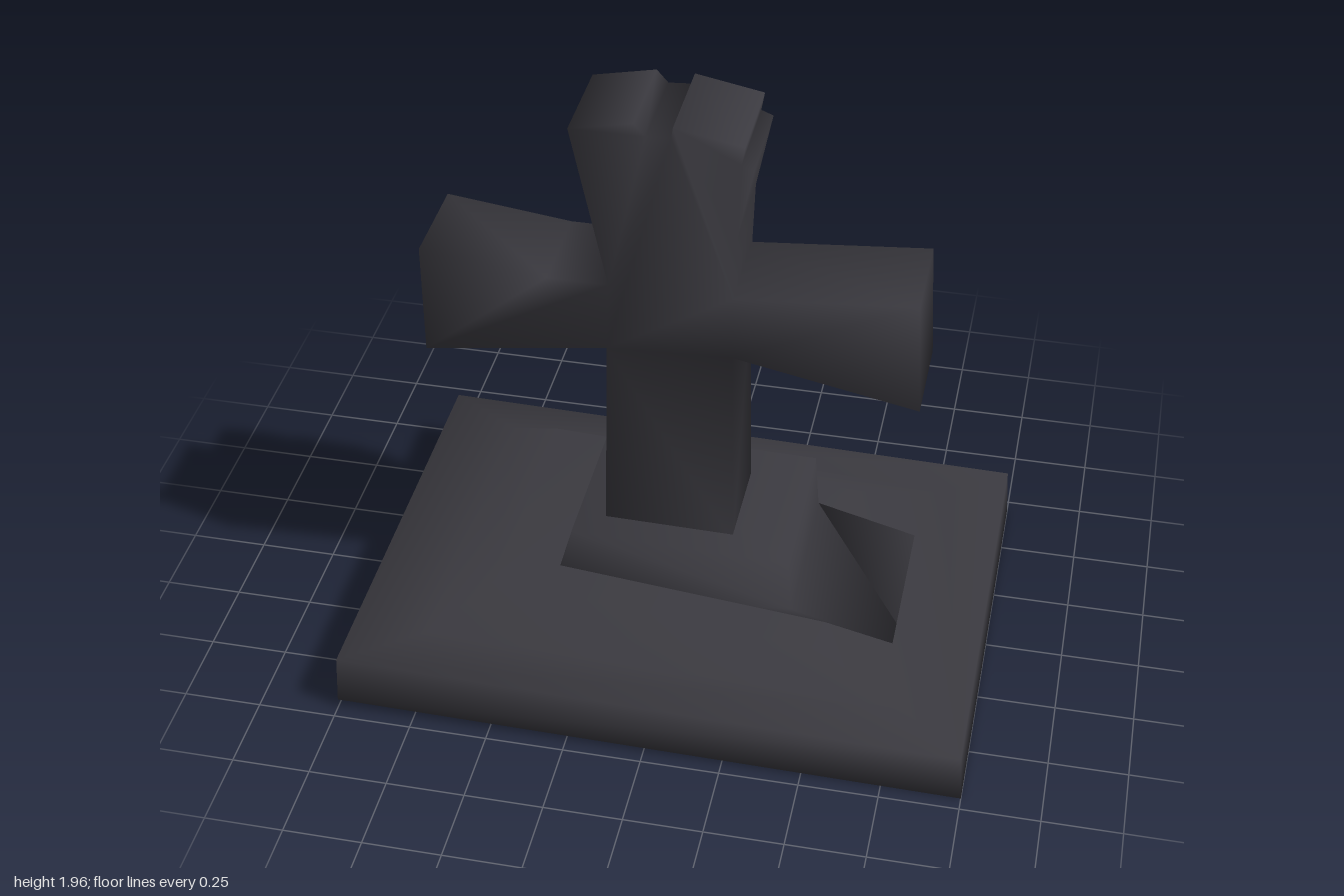
import * as THREE from 'three';
import { mergeVertices } from 'three/addons/utils/BufferGeometryUtils.js';

const stone = new THREE.MeshStandardMaterial({ color: 0x3b3a40 });
stone.name = 'dark stone';

// Extrude a front profile between two depths, with normals shared across edges
function slab(name, points, zBack, zFront) {
  const shape = new THREE.Shape(points.map(([x, y]) => new THREE.Vector2(x, y)));
  let geo = new THREE.ExtrudeGeometry(shape, { depth: zFront - zBack, bevelEnabled: false });
  geo.translate(0, 0, zBack);
  geo.deleteAttribute('normal');
  geo.deleteAttribute('uv');
  geo = mergeVertices(geo);
  geo.computeVertexNormals();
  const mesh = new THREE.Mesh(geo, stone);
  mesh.name = name;
  return mesh;
}

// Loft tilted rectangles [xLeft, yLeft, xRight, yRight, halfDepth] from bottom to top
function loft(name, rings) {
  const pos = [];
  const index = [];
  for (const [x0, y0, x1, y1, z] of rings) {
    pos.push(x0, y0, z, x1, y1, z, x1, y1, -z, x0, y0, -z);
  }
  for (let r = 0; r < rings.length - 1; r++) {
    for (let i = 0; i < 4; i++) {
      const a = r * 4 + i;
      const b = r * 4 + ((i + 1) % 4);
      index.push(a, b, b + 4, a, b + 4, a + 4);
    }
  }
  const t = (rings.length - 1) * 4;
  index.push(0, 2, 1, 0, 3, 2, t, t + 1, t + 2, t, t + 2, t + 3);
  const geo = new THREE.BufferGeometry();
  geo.setAttribute('position', new THREE.Float32BufferAttribute(pos, 3));
  geo.setIndex(index);
  geo.computeVertexNormals();
  const mesh = new THREE.Mesh(geo, stone);
  mesh.name = name;
  return mesh;
}

export function createModel() {
  const group = new THREE.Group();
  group.name = 'graveCross';

  // Tilted ground slab rising into a sloping mound
  group.add(loft('base', [
    [-1, 0.03, 1, 0, 0.705],
    [-0.99, 0.205, 0.99, 0.165, 0.705],
    [-0.74, 0.22, 0.79, 0.182, 0.54],
    [-0.545, 0.355, 0.5, 0.25, 0.4],
  ]));

  // Plinth with a low ramp running down its left side
  group.add(slab('plinth', [
    [-0.39, 0.22], [0.79, 0.18], [0.39, 0.285], [0.375, 0.475], [-0.325, 0.487], [-0.365, 0.34],
  ], -0.27, 0.27));

  // Cross with flared arms and a chipped, broken top
  group.add(slab('cross', [
    [-0.235, 0.45], [0.18, 0.45], [0.17, 1.175], [0.745, 1.06], [0.725, 1.44],
    [0.17, 1.39], [0.178, 1.6], [0.227, 1.845], [0.19, 1.86], [0.2, 1.92],
    [-0.01, 1.96], [-0.015, 1.925], [-0.09, 1.92], [-0.125, 1.96], [-0.32, 1.92],
    [-0.21, 1.39], [-0.4, 1.39], [-0.795, 1.44], [-0.795, 1.07], [-0.22, 1.155],
  ], -0.143, 0.172));

  return group;
}
